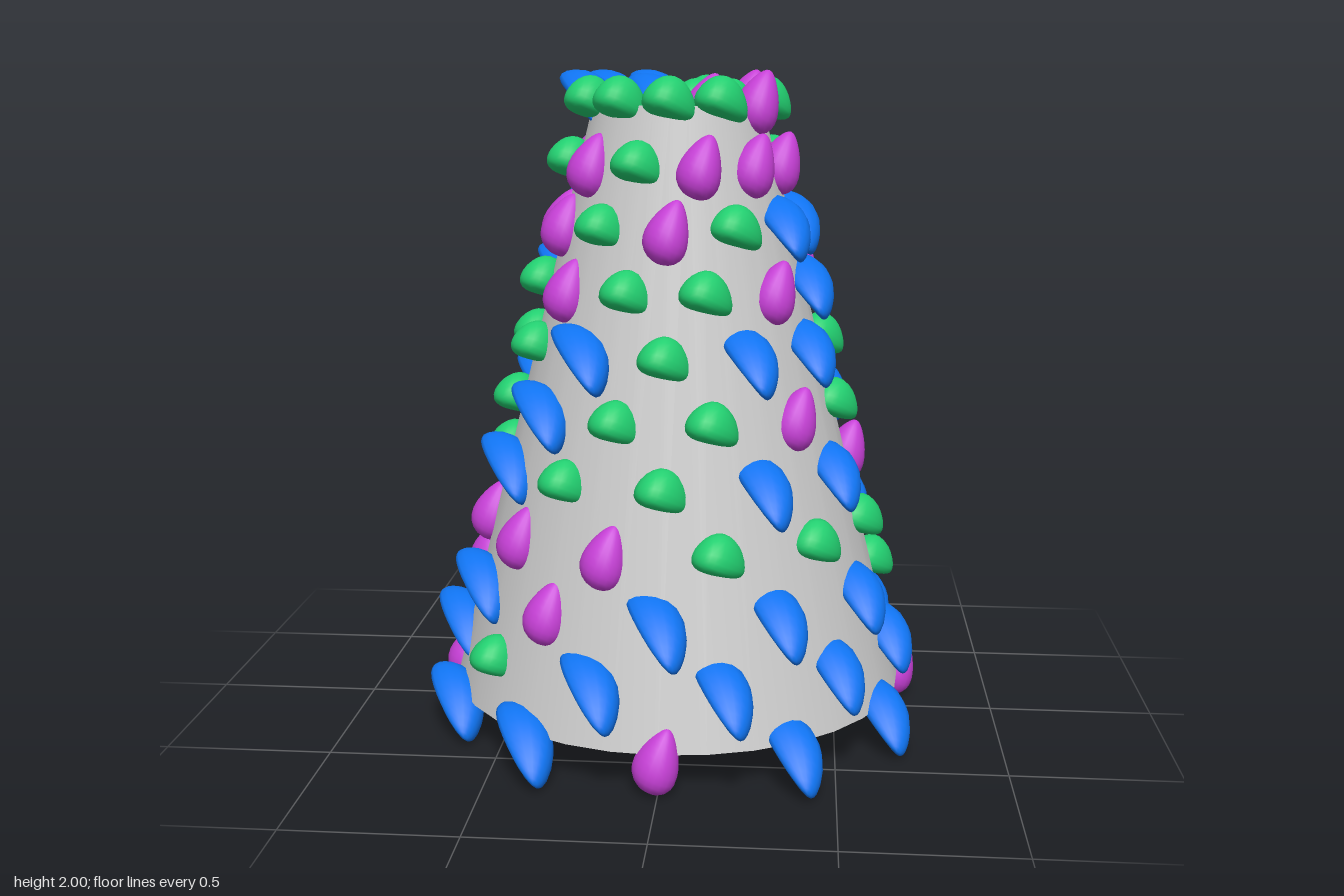
import * as THREE from 'three';
import { mergeVertices } from 'three/addons/utils/BufferGeometryUtils.js';

// Rounded candy: a sphere stretched along a and b, thickness along a x b,
// narrowing towards +a and curling downwards at the rim
function candyGeometry(a, b, thickness, taper, bend) {
  const A = new THREE.Vector3(...a), B = new THREE.Vector3(...b);
  const C = A.clone().cross(B).normalize();
  let geo = new THREE.SphereGeometry(1, 20, 14);
  geo.rotateZ(-Math.PI / 2);
  geo.deleteAttribute('uv');
  geo.deleteAttribute('normal');
  geo = mergeVertices(geo, 1e-4);
  const pos = geo.attributes.position, p = new THREE.Vector3(), v = new THREE.Vector3();
  for (let i = 0; i < pos.count; i++) {
    p.fromBufferAttribute(pos, i);
    const s = 1 - taper * p.x;
    v.set(0, 0, 0)
      .addScaledVector(A, p.x)
      .addScaledVector(B, p.y * s)
      .addScaledVector(C, p.z * s * thickness + bend * (0.5 - p.x * p.x - p.y * p.y));
    pos.setXYZ(i, v.x, v.y, v.z);
  }
  geo.computeVertexNormals();
  return geo;
}

// Candy colours from the bottom row up, counted from the front towards +x
const ROWS = [
  'mbbmbgmgmbb', 'bbbbmgmgbgb', 'bbbgbbbgmbm', 'gggbbggbmmm',
  'gbbmggbbgbg', 'gmgbbmbbgbg', 'gbbgmmbgggb', 'gmbmbbmbgmg',
  'mgbbgbbbmmg', 'mmmgbbbmgmg', 'ggmgmgbbbgg',
];

// Loose candies under the base and on the top: kind, x, z
const BASE = [
  ['b', 0.35, 0.15], ['b', -0.18, -0.23], ['m', 0.22, 0.32], ['m', -0.17, 0.42], ['g', 0.21, -0.24],
  ['g', 0, -0.29], ['g', -0.34, -0.1], ['m', -0.39, 0.1], ['g', -0.32, 0.29],
];
const TOP = [
  ['g', -0.1, -0.12], ['g', 0.05, -0.14], ['g', 0.16, -0.06], ['m', 0.09, 0.06], ['b', -0.05, 0.05], ['g', -0.15, 0],
];

export function createModel() {
  const model = new THREE.Group();

  // Tapered core
  const core = new THREE.Mesh(
    new THREE.CylinderGeometry(0.255, 0.7, 1.78, 32),
    new THREE.MeshStandardMaterial({ color: 0xcccccc })
  );
  core.name = 'coneCore';
  core.position.y = 1.01;
  model.add(core);

  const kinds = {
    b: { name: 'blueCandy', color: 0x0f73f0, shift: 0,
      geo: candyGeometry([0.05, -0.05, 0.135], [0.06, -0.07, -0.01], 0.052, 0.2, 0.04) },
    g: { name: 'greenCandy', color: 0x22cf70, shift: -0.025,
      geo: candyGeometry([0.07, -0.035, -0.03], [-0.025, -0.01, -0.065], 0.06, 0.22, 0.025) },
    m: { name: 'magentaCandy', color: 0xc63fd6, shift: -0.025,
      geo: candyGeometry([0.03, 0.09, -0.01], [0.05, -0.02, 0.035], 0.06, 0.4, 0) },
  };
  for (const k of Object.values(kinds)) k.mat = new THREE.MeshStandardMaterial({ color: k.color });

  function addCandy(group, type, x, y, z) {
    const k = kinds[type];
    const mesh = new THREE.Mesh(k.geo, k.mat);
    mesh.name = k.name;
    mesh.position.set(x, y, z + k.shift);
    group.add(mesh);
  }

  // Staggered rings of eleven candies
  ROWS.forEach((row, r) => {
    const ring = new THREE.Group();
    ring.name = 'candyRing' + (r + 1);
    const y = 0.1 + r * 0.181, radius = 0.735 - 0.243 * y;
    [...row].forEach((type, i) => {
      const t = ((i + (r % 2) / 2) / row.length) * Math.PI * 2;
      addCandy(ring, type, radius * Math.sin(t), y, radius * Math.cos(t));
    });
    model.add(ring);
  });

  // Candies under the base and on the top
  for (const [name, list, y] of [['baseCandies', BASE, 0.1], ['topCandies', TOP, 1.9]]) {
    const group = new THREE.Group();
    group.name = name;
    for (const [type, x, z] of list) addCandy(group, type, x, y, z);
    model.add(group);
  }
  return model;
}
